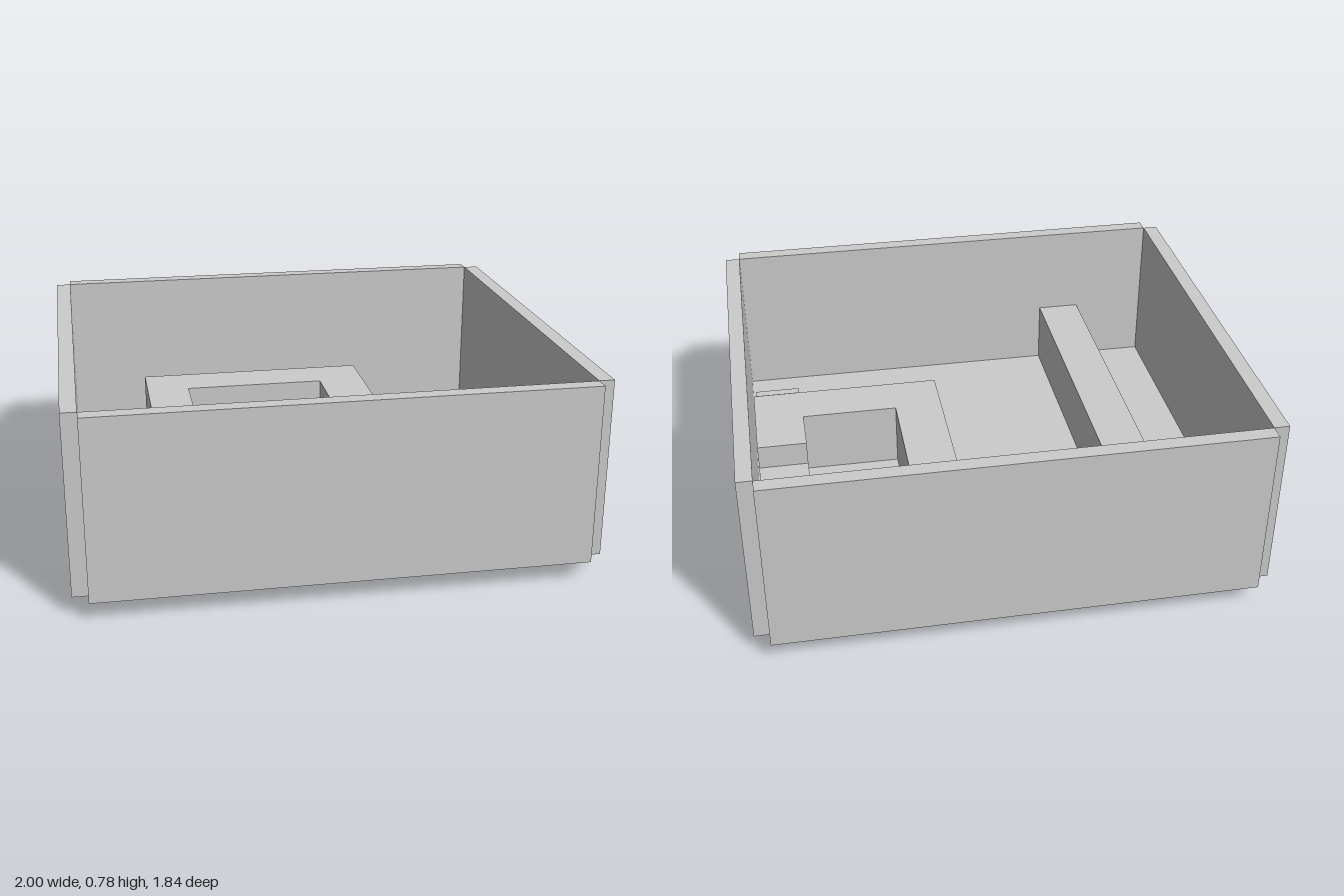
import * as THREE from 'three';

const material = new THREE.MeshStandardMaterial({ color: 0xcccccc, flatShading: true });

// Box given by its lower and upper limits on each axis
function block(name, [x0, x1], [y0, y1], [z0, z1]) {
  const mesh = new THREE.Mesh(new THREE.BoxGeometry(x1 - x0, y1 - y0, z1 - z0), material);
  mesh.name = name;
  mesh.position.set((x0 + x1) / 2, (y0 + y1) / 2, (z0 + z1) / 2);
  return mesh;
}

export function createModel() {
  const model = new THREE.Group();
  model.name = 'walledBox';
  const bottom = 0.075, top = 0.78, floorTop = 0.135, pathTop = 0.4;

  // Floor and four walls, with open notches at the corners
  const height = [bottom, top];
  model.add(
    block('floor', [-0.94, 0.94], [bottom, floorTop], [-0.86, 0.86]),
    block('leftWall', [0.94, 1], height, [-0.86, 0.86]),
    block('rightWall', [-1, -0.94], height, [-0.86, 0.86]),
    block('frontWall', [-0.94, 0.94], height, [0.86, 0.92]),
    block('backWall', [-0.94, 0.94], height, [-0.92, -0.86])
  );

  // Raised winding path, drawn in plan as (x, -z) and extruded upward
  const plan = [
    [-0.63, 0.86], [-0.45, 0.86], [-0.45, -0.405], [0.145, -0.405],
    [0.145, 0.295], [0.93, 0.295], [0.93, -0.1], [0.73, -0.1],
    [0.73, 0.1], [0.34, 0.1], [0.34, -0.6], [-0.63, -0.6]
  ];
  const shape = new THREE.Shape(plan.map(([x, z]) => new THREE.Vector2(x, -z)));
  const pathGeometry = new THREE.ExtrudeGeometry(shape, { depth: pathTop - floorTop, bevelEnabled: false });
  pathGeometry.rotateX(-Math.PI / 2);
  const path = new THREE.Mesh(pathGeometry, material);
  path.name = 'raisedPath';
  path.position.y = floorTop;
  model.add(path);

  // Two steps down on each side of the path's end; the lowest pass through the floor
  model.add(
    block('backUpperStep', [0.73, 0.93], [0.1, 0.3], [-0.29, -0.1]),
    block('backLowerStep', [0.73, 0.927], [0, 0.2], [-0.485, -0.29]),
    block('frontUpperStep', [0.73, 0.93], [0.1, 0.3], [0.295, 0.457]),
    block('frontLowerStep', [0.73, 0.925], [0, 0.2], [0.457, 0.655])
  );
  return model;
}
